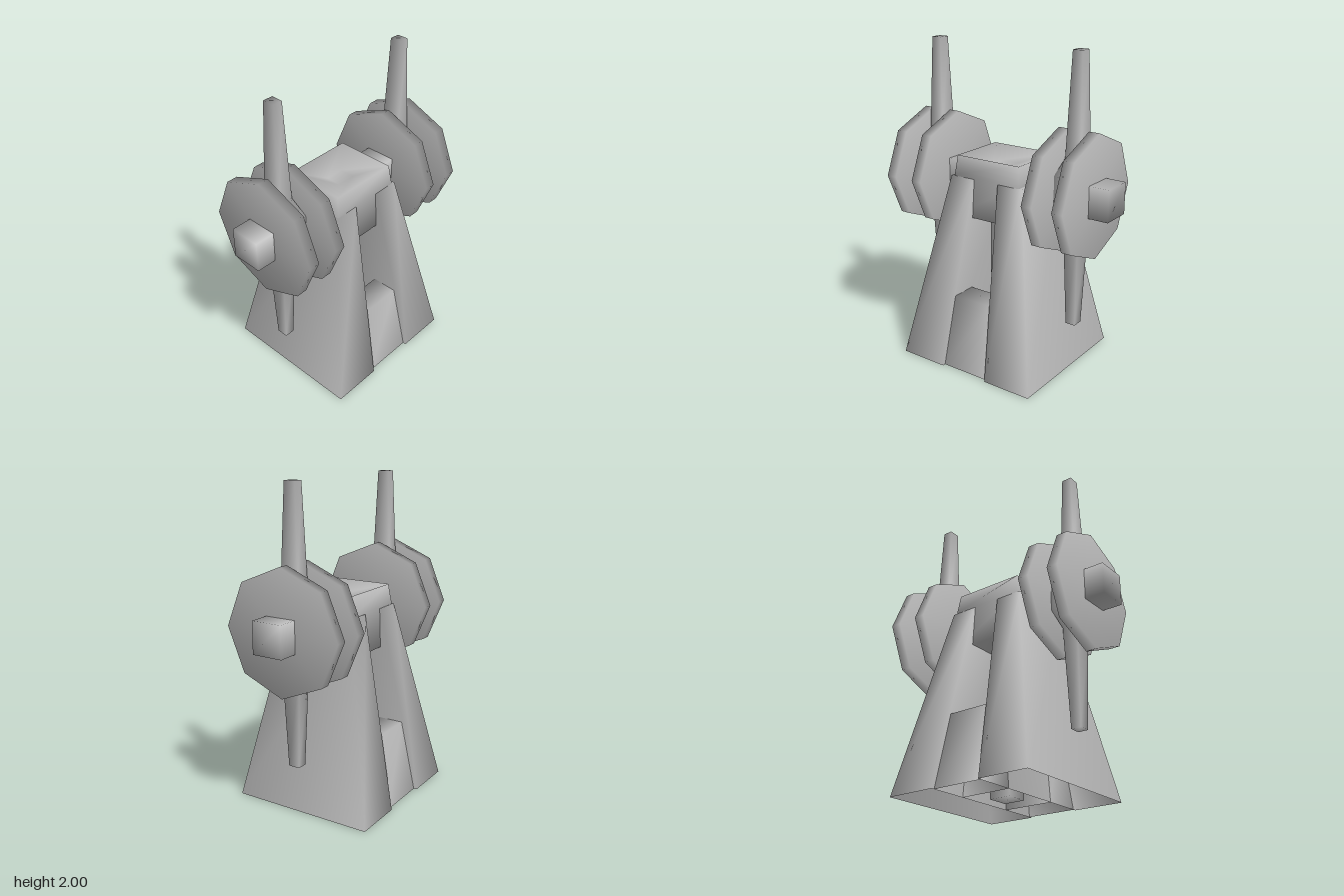
import * as THREE from 'three';
import { mergeVertices } from 'three/addons/utils/BufferGeometryUtils.js';

const stone = new THREE.MeshStandardMaterial({ color: 0xb8b8b8, side: THREE.DoubleSide });
stone.name = 'plain grey';

// Stack of rectangles [y, x0, x1, z0, z1], with shared corners for soft shading
function stack(rings, { bottom = true, top = true } = {}) {
  const pos = [], idx = [];
  for (const [y, x0, x1, z0, z1] of rings)
    pos.push(x0, y, z0, x0, y, z1, x1, y, z1, x1, y, z0);
  for (let r = 0; r < rings.length - 1; r++)
    for (let i = 0; i < 4; i++) {
      const a = r * 4 + i, b = r * 4 + (i + 1) % 4;
      idx.push(a, b, b + 4, a, b + 4, a + 4);
    }
  const t = (rings.length - 1) * 4;
  if (bottom) idx.push(0, 2, 1, 0, 3, 2);
  if (top) idx.push(t, t + 1, t + 2, t, t + 2, t + 3);
  const g = new THREE.BufferGeometry();
  g.setAttribute('position', new THREE.Float32BufferAttribute(pos, 3));
  g.setIndex(idx);
  g.computeVertexNormals();
  return g;
}

// Rectangle centred on the axis x = cx
const ring = (y, hx, hz, cx = 0) => [y, cx - hx, cx + hx, -hz, hz];

// Eight-sided wheel lying across the axle
function wheelGeometry(radius, width) {
  let g = new THREE.CylinderGeometry(radius, radius, width, 8);
  g.rotateZ(Math.PI / 2);
  g.deleteAttribute('normal');
  g.deleteAttribute('uv');
  g = mergeVertices(g);
  g.computeVertexNormals();
  return g;
}

export function createModel() {
  const model = new THREE.Group();
  model.name = 'windlassTower';
  const add = (name, geometry, x = 0, y = 0) => {
    const m = new THREE.Mesh(geometry, stone);
    m.name = name;
    m.position.set(x, y, 0);
    model.add(m);
  };
  const axleY = 1.16;

  // Tower sides, hollow and open underneath
  add('leftTowerSide', stack([[0, 0.165, 0.487, -0.46, 0.46], [1.19, 0.09, 0.262, -0.215, 0.215]], { bottom: false }));
  add('rightTowerSide', stack([[0, -0.487, -0.165, -0.46, 0.46], [1.19, -0.262, -0.09, -0.215, 0.215]], { bottom: false }));

  // Low walls closing the front and back
  add('frontWall', stack([[0, -0.165, 0.165, 0.2, 0.44], [0.455, -0.137, 0.137, 0.19, 0.355]], { bottom: false }));
  add('backWall', stack([[0, -0.165, 0.165, -0.44, -0.2], [0.455, -0.137, 0.137, -0.355, -0.19]], { bottom: false }));

  // Central post
  add('post', stack([ring(0, 0.07, 0.07), ring(0.96, 0.07, 0.07)]));

  // Head block with a shallow dip in its top
  add('head', stack([
    ring(0.94, 0.24, 0.21), ring(1.2, 0.24, 0.21), ring(1.32, 0.228, 0.192), ring(1.26, 0.06, 0.05),
  ]));

  // Square axle
  add('axle', stack([[1.06, -0.775, 0.775, -0.098, 0.098], [1.255, -0.775, 0.775, -0.098, 0.098]]));

  // Wheel pairs, each holding a hub with an upper and a lower spike
  const wheel = wheelGeometry(0.382, 0.07);
  const spike = stack([
    ring(-0.84, 0.032, 0.036), ring(-0.22, 0.05, 0.06), ring(-0.13, 0.068, 0.15),
    ring(0.13, 0.068, 0.15), ring(0.22, 0.05, 0.06), ring(0.84, 0.032, 0.036),
  ]);
  for (const [side, s] of [['left', 1], ['right', -1]]) {
    add(side + 'InnerWheel', wheel, s * 0.41, axleY);
    add(side + 'OuterWheel', wheel, s * 0.613, axleY);
    add(side + 'Spike', spike, s * 0.511, axleY);
  }
  return model;
}
